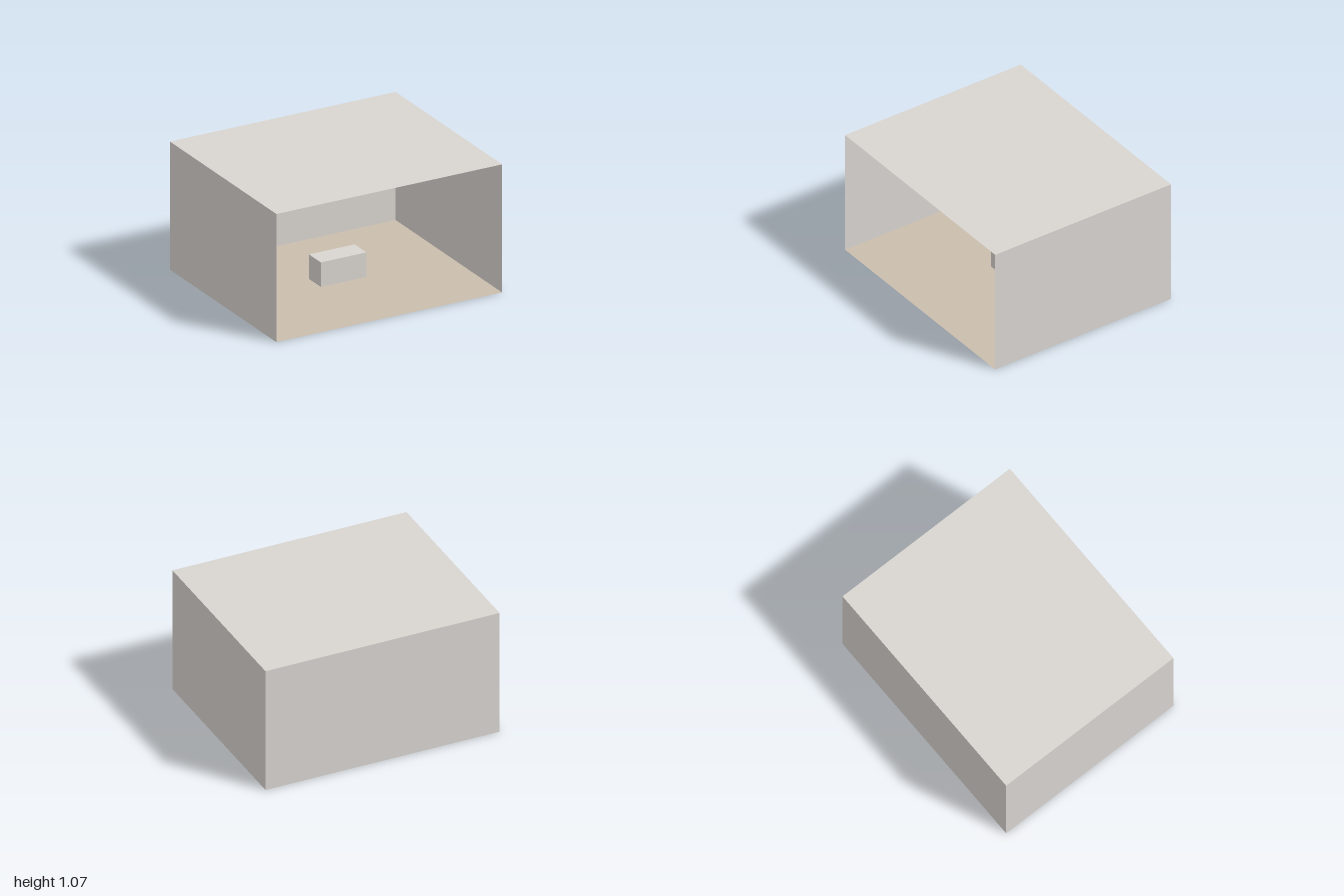
import * as THREE from 'three';

const W = 2, H = 1.07, D = 1.66;

export function createModel() {
  const model = new THREE.Group();
  model.name = 'openRoom';

  const plaster = new THREE.MeshStandardMaterial({ color: 0xd8d4d0, side: THREE.DoubleSide });
  plaster.name = 'warm grey plaster';
  const boards = new THREE.MeshStandardMaterial({ color: 0xcabdac, side: THREE.DoubleSide });
  boards.name = 'tan floor';

  // Thin room surfaces: width, height, position, rotation about x and y
  function sheet(name, w, h, pos, rx, ry, material) {
    const mesh = new THREE.Mesh(new THREE.PlaneGeometry(w, h), material);
    mesh.name = name;
    mesh.position.set(...pos);
    mesh.rotation.set(rx, ry, 0);
    model.add(mesh);
  }
  const q = Math.PI / 2;
  sheet('floor', W, D, [0, 0, 0], -q, 0, boards);
  sheet('ceiling', W, D, [0, H, 0], -q, 0, plaster);
  sheet('backWall', W, H, [0, H / 2, -D / 2], 0, 0, plaster);
  sheet('leftWall', D, H, [W / 2, H / 2, 0], 0, q, plaster);
  sheet('rightWall', D, H, [-W / 2, H / 2, 0], 0, q, plaster);

  // Counter assembled from thin panels, given by their low and high corners
  const counter = new THREE.Group();
  counter.name = 'counter';
  model.add(counter);
  function panel(name, lo, hi) {
    const size = hi.map((v, i) => v - lo[i]);
    const mesh = new THREE.Mesh(new THREE.BoxGeometry(...size), plaster);
    mesh.name = name;
    mesh.position.set(...hi.map((v, i) => (v + lo[i]) / 2));
    counter.add(mesh);
  }
  const x0 = -0.16, x1 = 0.245, z0 = -0.14, z1 = 0.045, top = 0.205, t = 0.01;
  panel('counterTop', [x0, top - t, z0], [x1, top, z1]);
  panel('counterFront', [x0, 0, z1 - t], [x1 - t, top - t, z1]);
  panel('counterLeftSide', [x1 - t, 0, z0], [x1, top - t, z1]);
  panel('counterRightSide', [x0, 0, z0], [x0 + t, top - t, z1 - t]);

  return model;
}
